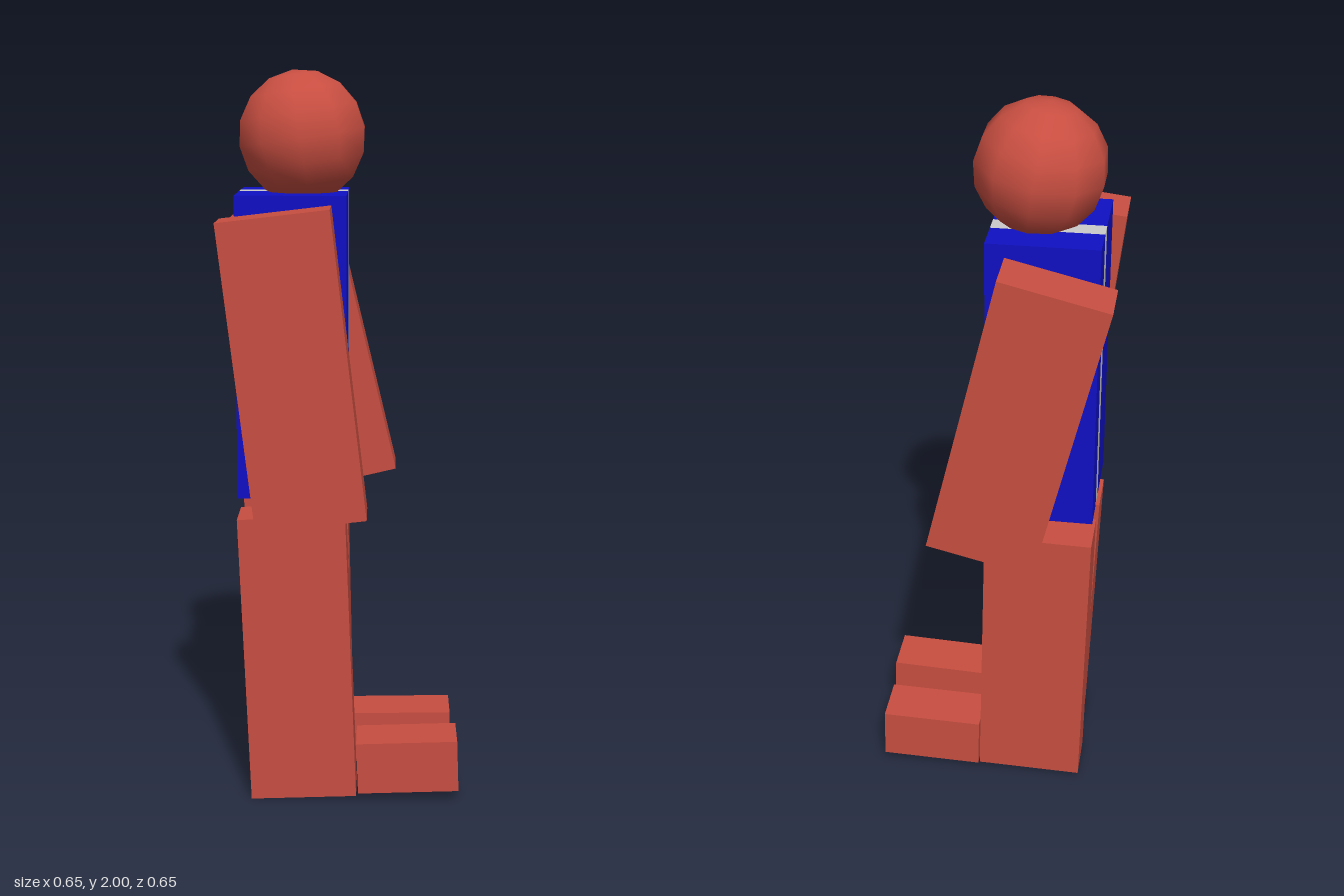
import * as THREE from 'three';

const RED = 0xc84e41, BLUE = 0x1010c4, GREY = 0xcccccc;

export function createModel() {
  const model = new THREE.Group();
  model.name = 'blockFigure';
  const mats = {};
  const mat = (color) => (mats[color] ??= new THREE.MeshStandardMaterial({ color }));

  // box of size [x, y, z] centred at pos, swung by tilt degrees about z
  function box(name, size, pos, tilt = 0, color = RED) {
    const mesh = new THREE.Mesh(new THREE.BoxGeometry(...size), mat(color));
    mesh.name = name;
    mesh.position.set(...pos);
    mesh.rotation.z = THREE.MathUtils.degToRad(tilt);
    model.add(mesh);
  }

  // Torso: two blue slabs with a grey stripe between them
  const slabs = [
    ['torsoSide', -0.16, -0.063, BLUE],
    ['torsoStripe', -0.063, -0.009, GREY],
    ['torsoOtherSide', -0.009, 0.165, BLUE],
  ];
  for (const [name, z0, z1, color] of slabs) {
    box(name, [0.293, 0.81, z1 - z0], [-0.134, 1.275, (z0 + z1) / 2], 0, color);
  }

  // Limbs share one block, each swung by its own angle
  const limb = [0.293, 0.81, 0.138];
  box('frontArm', limb, [-0.124, 1.238, 0.256], 6.75);
  box('backArm', limb, [-0.09, 1.23, -0.258], 13.5);
  box('frontLeg', limb, [-0.122, 0.411, 0.097], 2.2);
  box('backLeg', limb, [-0.128, 0.417, -0.129], 1.2);

  // Feet point towards +x
  const foot = [0.281, 0.147, 0.138];
  box('frontFoot', foot, [0.183, 0.098, 0.097], 2.2);
  box('backFoot', foot, [0.169, 0.094, -0.137], 1.2);

  // Head: coarse ten-sided ball, slightly nodded
  const head = new THREE.Mesh(new THREE.SphereGeometry(0.175, 10, 8, Math.PI / 2), mat(RED));
  head.name = 'head';
  head.position.set(-0.108, 1.826, 0.003);
  head.rotation.z = 0.15;
  model.add(head);

  return model;
}
